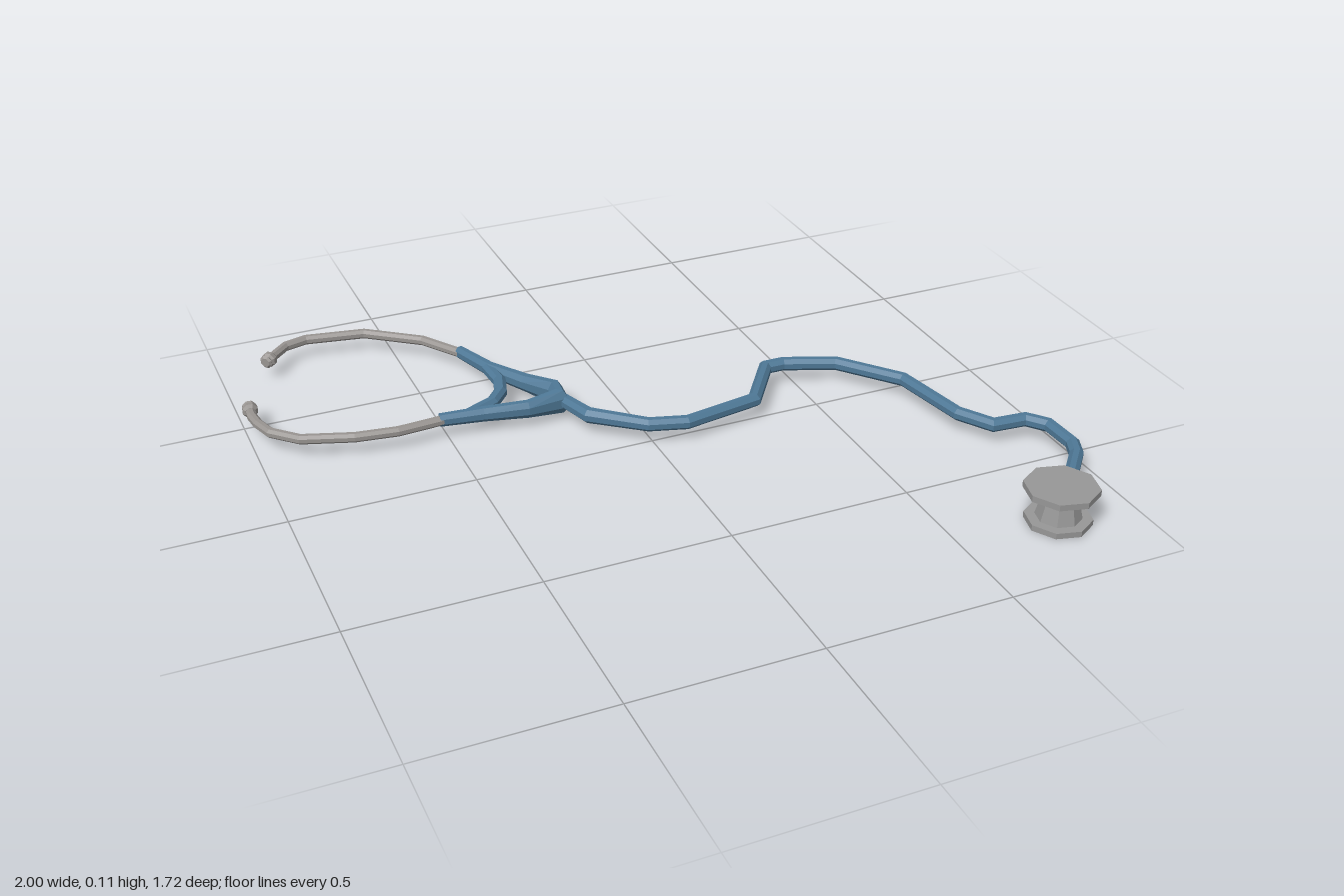
import * as THREE from 'three';

const AXIS_Y = 0.054;
const SIDES = 8;

const blueRubber = new THREE.MeshStandardMaterial({ color: 0x4e7896 });
blueRubber.name = 'blueRubber';
const metal = new THREE.MeshStandardMaterial({ color: 0x989491 });
metal.name = 'metal';
const steel = new THREE.MeshStandardMaterial({ color: 0x979797 });
steel.name = 'steel';

// Faceted mesh: every face gets its own normal
function facetedMesh(name, geometry, material) {
  const flat = geometry.index ? geometry.toNonIndexed() : geometry;
  flat.computeVertexNormals();
  const mesh = new THREE.Mesh(flat, material);
  mesh.name = name;
  return mesh;
}

// Mitred sweep lying flat; each point is [x, z, radius, vertical radius]
function hose(name, points, material, radius = 0.02) {
  const pos = [];
  const index = [];
  const n = points.length;
  const dir = (a, b) => new THREE.Vector2(b[0] - a[0], b[1] - a[1]).normalize();
  points.forEach((p, i) => {
    const before = dir(points[Math.max(i - 1, 0)], points[Math.max(i, 1)]);
    const after = dir(points[Math.min(i, n - 2)], points[Math.min(i + 1, n - 1)]);
    const t = before.clone().add(after).normalize();
    const r = p[2] ?? radius;
    const ry = p[3] ?? r;
    const miter = r / Math.max(t.dot(after), 0.6);
    for (let j = 0; j < SIDES; j++) {
      const a = ((j + 0.5) / SIDES) * Math.PI * 2;
      const c = Math.cos(a) * miter * 1.05;
      pos.push(p[0] + t.y * c, AXIS_Y + Math.sin(a) * ry * 1.05, p[1] - t.x * c);
    }
  });
  for (let i = 0; i < n - 1; i++) {
    for (let j = 0; j < SIDES; j++) {
      const k = (j + 1) % SIDES;
      const a = i * SIDES;
      const b = a + SIDES;
      index.push(a + j, a + k, b + j, a + k, b + k, b + j);
    }
  }
  // End caps
  const last = (n - 1) * SIDES;
  for (let j = 1; j < SIDES - 1; j++) {
    index.push(0, j + 1, j, last, last + j, last + j + 1);
  }
  const g = new THREE.BufferGeometry();
  g.setAttribute('position', new THREE.Float32BufferAttribute(pos, 3));
  g.setIndex(index);
  return facetedMesh(name, g, material);
}

export function createModel() {
  const model = new THREE.Group();
  model.name = 'stethoscope';

  // Long winding tube from the yoke to the chest piece
  model.add(hose('mainTube', [
    [-0.185, -0.25], [-0.14, -0.11, 0.021], [-0.01, 0.0], [0.09, 0.03], [0.31, -0.008],
    [0.42, -0.162], [0.475, -0.162], [0.615, -0.105], [0.745, 0.055], [0.785, 0.28],
    [0.84, 0.37], [0.935, 0.378], [0.976, 0.43], [0.979, 0.535], [0.957, 0.585],
    [0.86, 0.695], [0.8, 0.755],
  ], blueRubber, 0.0185));

  // Yoke: one thick fork whose arms taper towards the ear tubes
  model.add(hose('yoke', [
    [-0.348, -0.595, 0.016, 0.018], [-0.3, -0.46, 0.018, 0.021], [-0.235, -0.35, 0.021, 0.025],
    [-0.18, -0.265, 0.022, 0.036], [-0.185, -0.215, 0.022, 0.036], [-0.28, -0.208, 0.019, 0.025],
    [-0.4, -0.23, 0.018, 0.021], [-0.52, -0.245, 0.016, 0.018],
  ], blueRubber));

  // Curved spring bridging the two arms
  model.add(hose('yokeSpring', [
    [-0.305, -0.47], [-0.3, -0.385], [-0.318, -0.325], [-0.357, -0.278], [-0.44, -0.24],
  ], blueRubber, 0.018));

  // Ear tubes with their bulged tips
  const earTubes = [
    ['leftEar', [[-0.343, -0.58], [-0.425, -0.705], [-0.57, -0.815], [-0.738, -0.845],
      [-0.802, -0.827], [-0.86, -0.77]]],
    ['rightEar', [[-0.5, -0.242], [-0.64, -0.232], [-0.755, -0.248], [-0.89, -0.295],
      [-0.955, -0.36], [-0.975, -0.42], [-0.981, -0.465], [-0.978, -0.5]]],
  ];
  for (const [name, path] of earTubes) {
    model.add(hose(name + 'Tube', path, metal, 0.0135));
    const [a, b] = path.slice(-2);
    const d = new THREE.Vector2(b[0] - a[0], b[1] - a[1]).normalize();
    const profile = [[-0.012, 0.014], [-0.004, 0.021], [0.008, 0.021], [0.014, 0.015], [0.02, 0.019], [0.026, 0.013]];
    model.add(hose(name + 'Tip', profile.map(([s, r]) => [b[0] + d.x * s, b[1] + d.y * s, r]), metal));
  }

  // Chest piece: two octagonal plates joined by a tapered waist
  const chest = new THREE.Group();
  chest.name = 'chestPiece';
  chest.position.set(0.784, 0, 0.765);
  chest.rotation.y = 0.14;
  const layers = [
    ['bell', 0.087, 0.087, 0, 0.016],
    ['waist', 0.042, 0.06, 0.016, 0.089],
    ['diaphragm', 0.097, 0.097, 0.089, 0.106],
  ];
  for (const [name, top, bottom, y0, y1] of layers) {
    const m = facetedMesh(name, new THREE.CylinderGeometry(top, bottom, y1 - y0, 8), steel);
    m.position.y = (y0 + y1) / 2;
    chest.add(m);
  }
  model.add(chest);
  return model;
}
